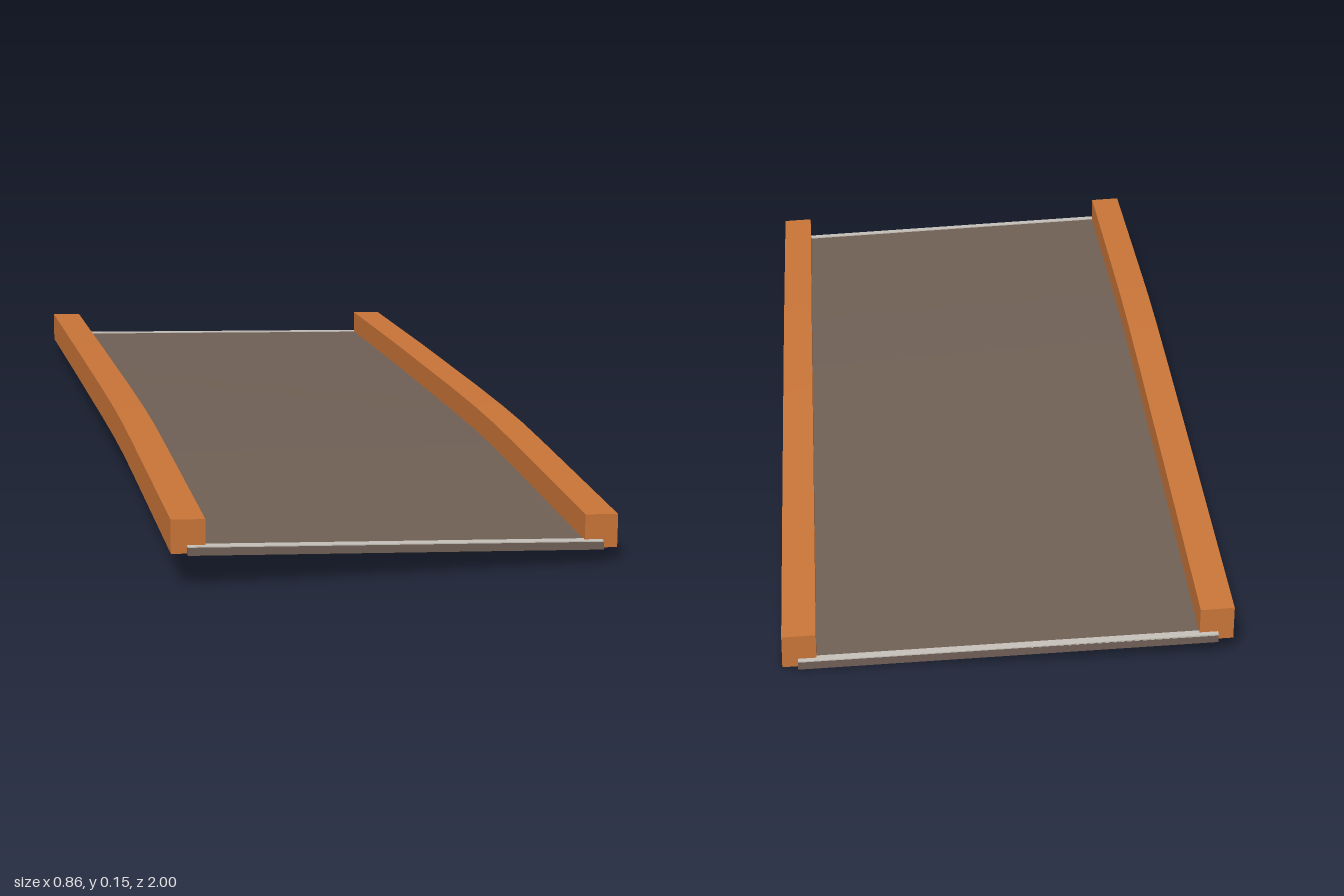
import * as THREE from 'three';

// Spine stations from back to front: z, underside height at the centre line, sideways tilt
const STATIONS = [
  [-1, 0.0175, 0.0375], [-0.5, 0.04, 0.04], [0, 0.0595, 0.045], [0.2, 0.0655, 0.047],
  [0.35, 0.067, 0.0475], [0.5, 0.0645, 0.0475], [1, 0.0525, 0.048],
];

// Underside height of the banked, humped surface
function surface(x, z) {
  let i = 0;
  while (i < STATIONS.length - 2 && z > STATIONS[i + 1][0]) i++;
  const [za, ca, sa] = STATIONS[i];
  const [zb, cb, sb] = STATIONS[i + 1];
  const t = (z - za) / (zb - za);
  return ca + (cb - ca) * t - (sa + (sb - sa) * t) * x;
}

// Box bent along the surface; y values are heights above the underside
function bentBar(name, material, [x0, x1], [y0, y1], [z0, z1]) {
  const segments = Math.max(1, Math.round((z1 - z0) * 20));
  const geo = new THREE.BoxGeometry(x1 - x0, y1 - y0, z1 - z0, 1, 1, segments);
  geo.translate((x0 + x1) / 2, (y0 + y1) / 2, (z0 + z1) / 2);
  const p = geo.attributes.position;
  for (let i = 0; i < p.count; i++) {
    p.setY(i, p.getY(i) + surface(p.getX(i), p.getZ(i)));
  }
  geo.computeVertexNormals();
  const mesh = new THREE.Mesh(geo, material);
  mesh.name = name;
  return mesh;
}

export function createModel() {
  const group = new THREE.Group();
  group.name = 'rampSection';

  const deckBrown = new THREE.MeshStandardMaterial({ color: 0x706056 });
  deckBrown.name = 'deckBrown';
  const railOrange = new THREE.MeshStandardMaterial({ color: 0xc97538 });
  railOrange.name = 'railOrange';
  const paleGrey = new THREE.MeshStandardMaterial({ color: 0xc4c0b8 });
  paleGrey.name = 'paleGrey';

  // Deck slab
  group.add(bentBar('deck', deckBrown, [-0.4, 0.4], [-0.001, 0.0145], [-1, 1]));

  // Side rails
  group.add(bentBar('leftRail', railOrange, [0.365, 0.43], [0, 0.066], [-0.99, 0.99]));
  group.add(bentBar('rightRail', railOrange, [-0.43, -0.365], [0, 0.066], [-0.99, 0.99]));

  // Thin end strips on the deck
  group.add(bentBar('frontEndStrip', paleGrey, [-0.4, 0.4], [0.0135, 0.0165], [0.983, 1]));
  group.add(bentBar('backEndStrip', paleGrey, [-0.4, 0.4], [0.0135, 0.0165], [-1, -0.983]));

  return group;
}
